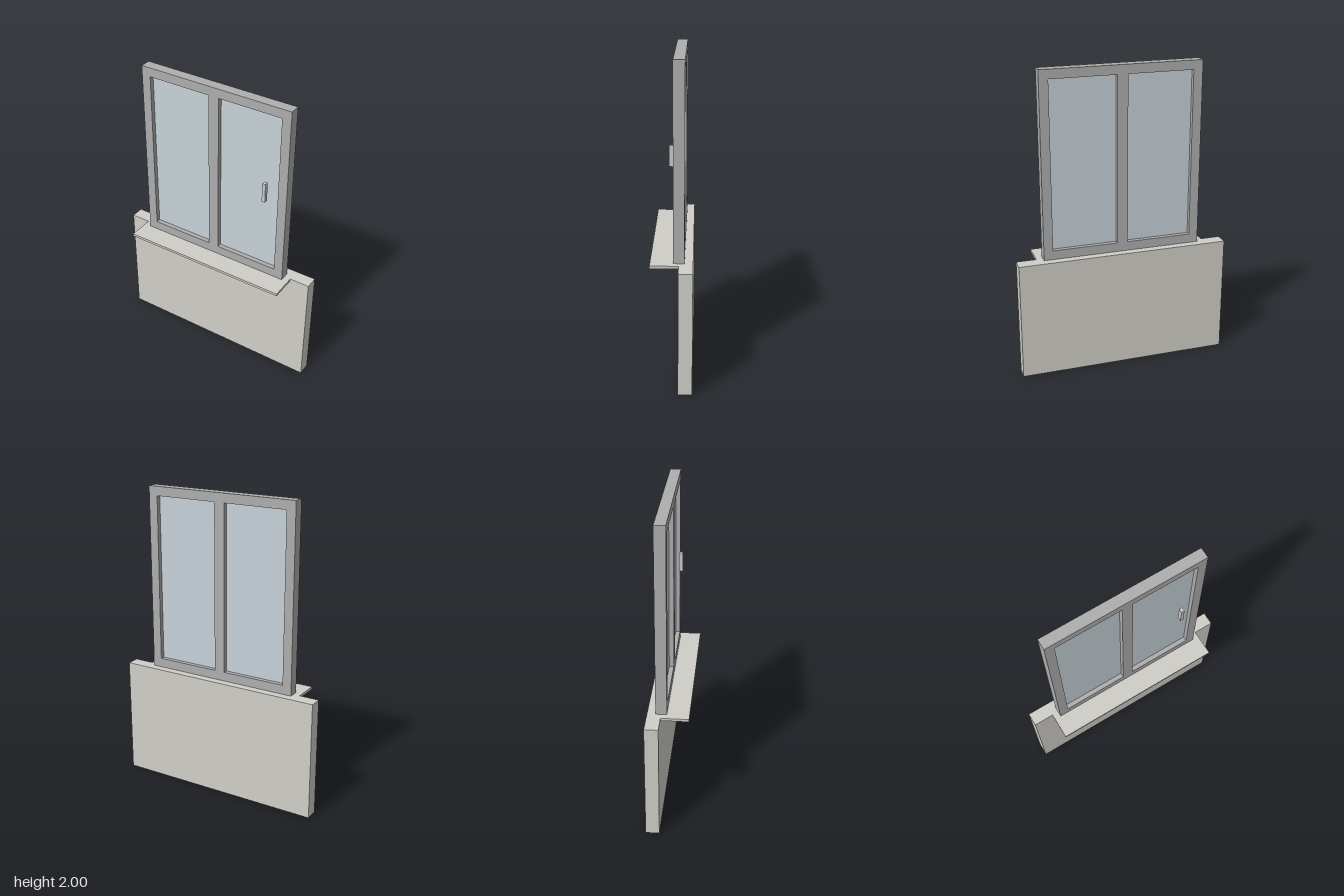
import * as THREE from 'three';

const material = (color, extra = {}) => new THREE.MeshStandardMaterial({ color, ...extra });

// Box given by its minimum and maximum corners
function box(name, min, max, mat) {
  const size = max.map((v, i) => v - min[i]);
  const mesh = new THREE.Mesh(new THREE.BoxGeometry(...size), mat);
  mesh.position.set(...min.map((v, i) => v + size[i] / 2));
  mesh.name = name;
  return mesh;
}

// Counter-clockwise rectangle corners
const rect = (x0, y0, x1, y1) => [[x0, y0], [x1, y0], [x1, y1], [x0, y1]].map(p => new THREE.Vector2(...p));

export function createModel() {
  const group = new THREE.Group();
  group.name = 'windowWithParapet';
  const wallMat = material(0xd0cfc8);
  const sillMat = material(0xd0cec8);
  const frameMat = material(0xaeaeae);
  const glassMat = material(0xc6d2d8);
  const handleMat = material(0xcccccc);

  const wallTop = 0.783, top = 2, midZ = -0.0435;
  const halfWidth = 0.522, border = 0.06, halfMullion = 0.035, halfDepth = 0.035;

  // Low wall and projecting sill
  group.add(box('wall', [-0.696, 0, -0.1305], [0.696, wallTop, midZ], wallMat));
  group.add(box('sill', [-0.565, 0.7655, midZ], [0.565, wallTop, 0.1305], sillMat));

  // Frame with two openings, each holding a thin pane
  const outline = new THREE.Shape(rect(-halfWidth, wallTop, halfWidth, top));
  const y0 = wallTop + border, y1 = top - border;
  for (const side of [-1, 1]) {
    const [x0, x1] = [side * halfMullion, side * (halfWidth - border)].sort((a, b) => a - b);
    outline.holes.push(new THREE.Path(rect(x0, y0, x1, y1).reverse()));
    group.add(box(side < 0 ? 'rightGlass' : 'leftGlass',
      [x0, y0, midZ - 0.005], [x1, y1, midZ + 0.005], glassMat));
  }
  const frame = new THREE.Mesh(
    new THREE.ExtrudeGeometry(outline, { depth: halfDepth * 2, bevelEnabled: false }), frameMat);
  frame.position.z = midZ - halfDepth;
  frame.name = 'frame';
  group.add(frame);

  // Upright handle in front of the left sash
  group.add(box('handle', [0.366, 1.348, -0.0087], [0.388, 1.479, 0.0175], handleMat));
  return group;
}
